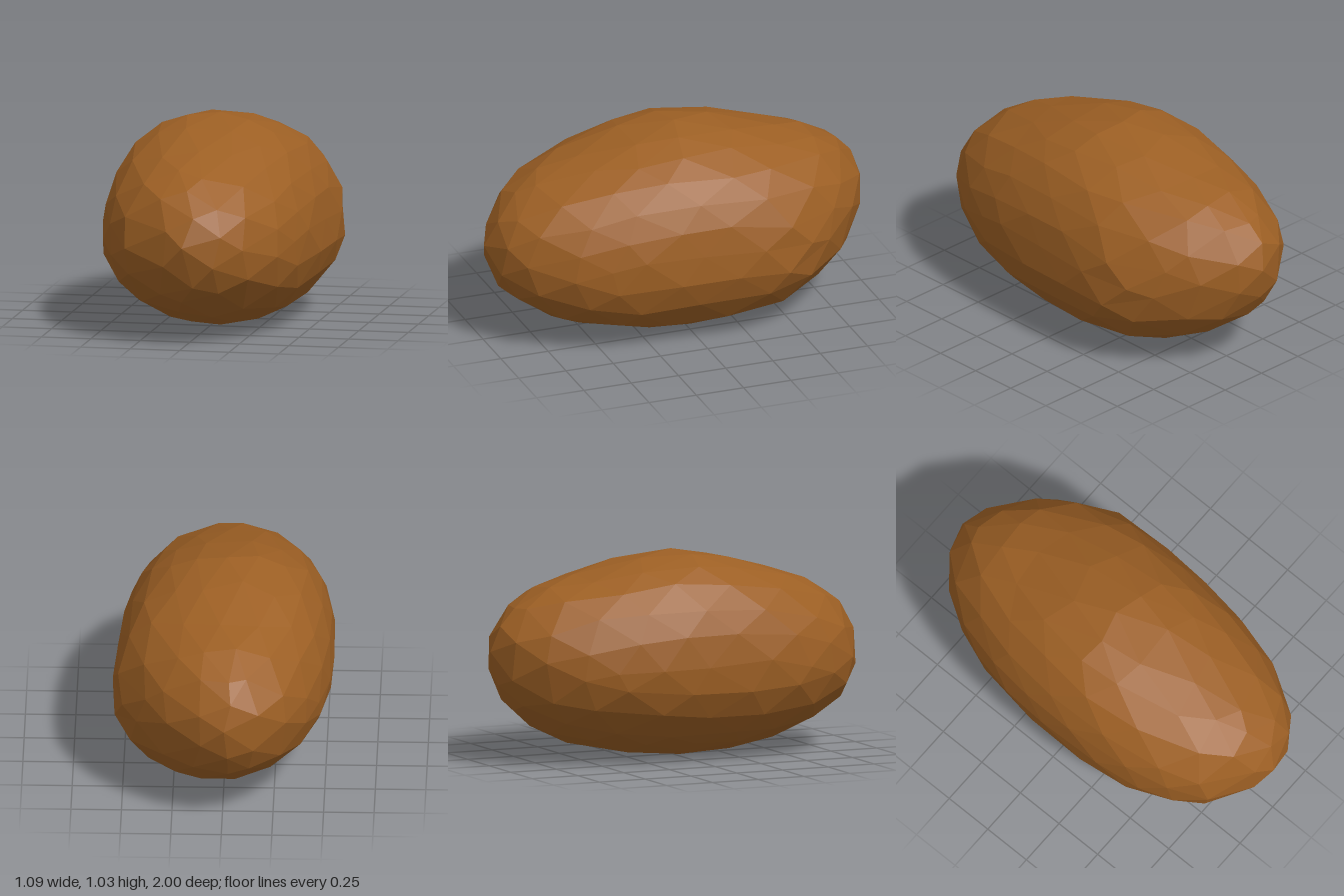
import * as THREE from 'three';
import { mergeVertices } from 'three/addons/utils/BufferGeometryUtils.js';

// Piecewise linear lookup
function lerpTable(xs, ys, x) {
  let i = 0;
  while (i < xs.length - 2 && x > xs[i + 1]) i++;
  const t = (x - xs[i]) / (xs[i + 1] - xs[i]);
  return ys[i] + (ys[i + 1] - ys[i]) * t;
}

// Lengthwise stations: centre line, and half width and height relative to a round section
const Z = [-1, -0.96, -0.87, -0.5, 0, 0.5, 0.85, 0.95, 1];
const MID_X = [-0.02, -0.03, -0.015, 0.028, 0, -0.01, 0.005, 0.04, 0.02];
const MID_Y = [0.56, 0.55, 0.53, 0.5, 0.515, 0.486, 0.485, 0.48, 0.49];
const WIDTH = [0.48, 0.5, 0.545, 0.58, 0.535, 0.56, 0.585, 0.52, 0.5];
const HEIGHT = [0.54, 0.54, 0.53, 0.5, 0.515, 0.495, 0.517, 0.517, 0.52];

// Lumpiness of the cross-section every 22.5 degrees, from the left side round over the top
const RHO = [1, 0.985, 1.005, 0.985, 1, 1.035, 1.06, 1.015,
  1, 1.02, 0.99, 0.975, 1, 1.035, 1.08, 1.065, 1];
const ANGLES = RHO.map((_, i) => i * 22.5);

function makeRandom(seed) {
  return () => {
    seed = (seed * 16807) % 2147483647;
    return seed / 2147483647 - 0.5;
  };
}

function tuberGeometry() {
  let geo = new THREE.IcosahedronGeometry(1, 3);
  geo.deleteAttribute('normal');
  geo.deleteAttribute('uv');
  geo = mergeVertices(geo, 1e-3);
  const pos = geo.attributes.position;
  const rand = makeRandom(4217);
  const d = new THREE.Vector3();

  for (let i = 0; i < pos.count; i++) {
    // Uneven facets: slide each point a little over the sphere
    d.fromBufferAttribute(pos, i);
    d.x += rand() * 0.1;
    d.y += rand() * 0.1;
    d.z += rand() * 0.1;
    d.normalize();

    // Lumps fade out towards both ends
    const angle = (THREE.MathUtils.radToDeg(Math.atan2(d.y, d.x)) + 360) % 360;
    const lump = 1 + (lerpTable(ANGLES, RHO, angle) - 1) * Math.hypot(d.x, d.y);
    pos.setXYZ(
      i,
      lerpTable(Z, MID_X, d.z) + d.x * lerpTable(Z, WIDTH, d.z) * lump,
      lerpTable(Z, MID_Y, d.z) + d.y * lerpTable(Z, HEIGHT, d.z) * lump,
      d.z
    );
  }

  // Separate faces for crisp facets
  const flat = geo.toNonIndexed();
  flat.computeVertexNormals();
  return flat;
}

export function createModel() {
  const group = new THREE.Group();
  group.name = 'potato';
  const skin = new THREE.MeshStandardMaterial({ color: 0x9c5f24, flatShading: true });
  skin.name = 'brown skin';
  const body = new THREE.Mesh(tuberGeometry(), skin);
  body.name = 'body';
  group.add(body);
  return group;
}
